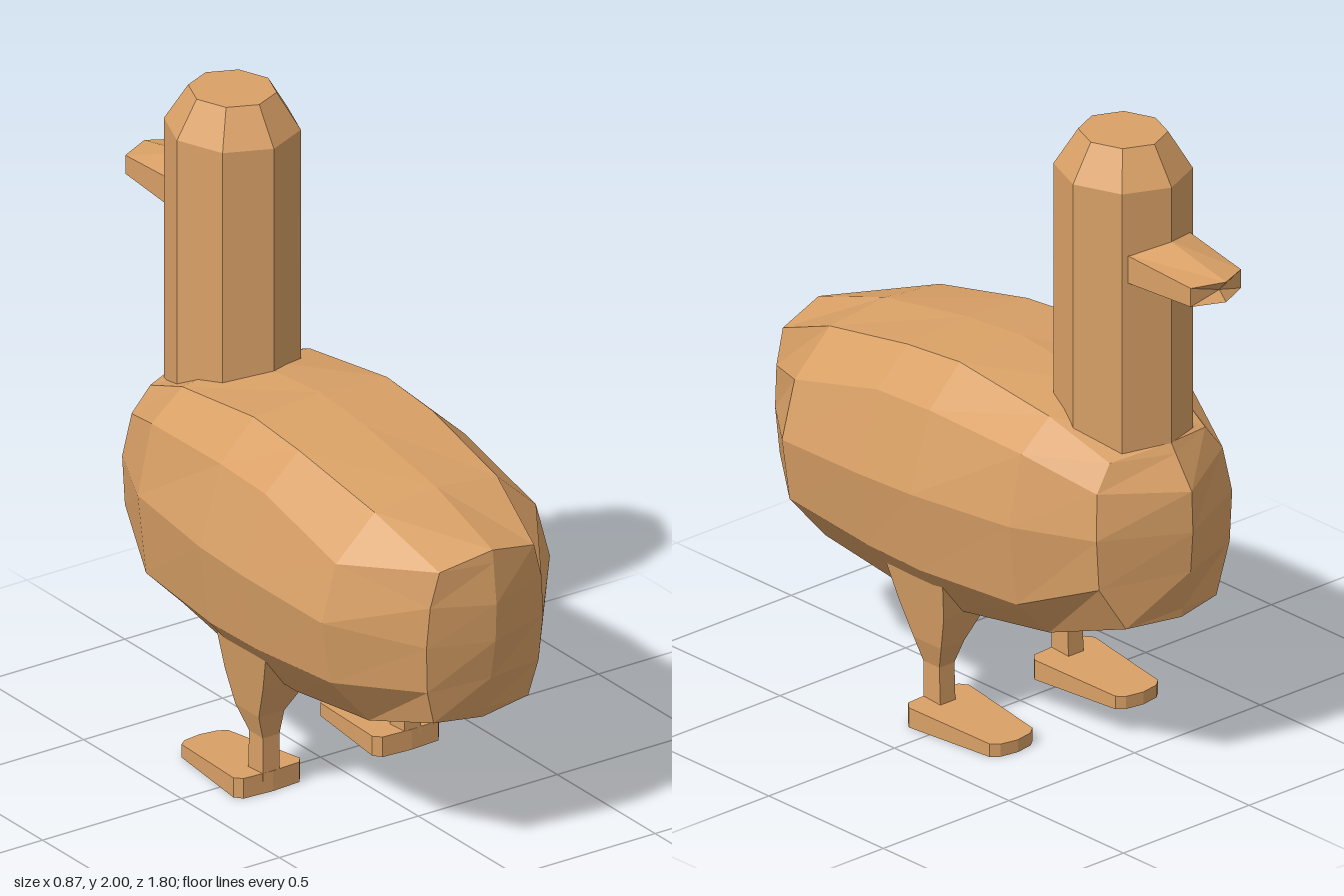
import * as THREE from 'three';

const tan = new THREE.MeshStandardMaterial({ color: 0xd9a066, flatShading: true });
tan.name = 'tan';

// Joins closed rings of [x, y, z] points with quads
function loft(name, rings) {
  const pos = [];
  for (let r = 0; r < rings.length - 1; r++) {
    const p = rings[r], q = rings[r + 1], n = p.length;
    for (let i = 0; i < n; i++) {
      const j = (i + 1) % n;
      pos.push(...p[i], ...p[j], ...q[i], ...p[j], ...q[j], ...q[i]);
    }
  }
  const geo = new THREE.BufferGeometry();
  geo.setAttribute('position', new THREE.Float32BufferAttribute(pos, 3));
  geo.computeVertexNormals();
  const mesh = new THREE.Mesh(geo, tan);
  mesh.name = name;
  return mesh;
}

// Full ring from its +x half, listed top centre to bottom centre
const mirrored = (half) => [
  ...half,
  ...half.slice(1, -1).reverse().map(([x, y, z]) => [-x, y, z]),
];
const section = (z, half) => mirrored(half.map(([x, y]) => [x, y, z]));

// Ring shrunk to its middle, used to close an end
function closing(ring) {
  const c = [0, 1, 2].map((k) => ring.reduce((s, p) => s + p[k], 0) / ring.length);
  return ring.map(() => c);
}

function makeBody() {
  const tailSpine = [[0, 1.01, 0.88], [0, 0.97, 0.885], [0, 0.84, 0.9], [0, 0.72, 0.895], [0, 0.59, 0.87], [0, 0.48, 0.84], [0, 0.45, 0.83]];
  const tailRim = [[0, 1.01, 0.88], [0.17, 0.97, 0.85], [0.2, 0.86, 0.845], [0.21, 0.73, 0.84], [0.2, 0.58, 0.83], [0.17, 0.47, 0.82], [0, 0.45, 0.83]];
  const chestRim = [[0, 1.06, -0.66], [0.19, 1.03, -0.6], [0.25, 0.95, -0.61], [0.27, 0.81, -0.63], [0.26, 0.65, -0.63], [0.18, 0.51, -0.66], [0, 0.51, -0.705]];
  const chestSpine = [[0, 1.06, -0.66], [0, 1.03, -0.68], [0, 0.93, -0.75], [0, 0.8, -0.755], [0, 0.67, -0.745], [0, 0.54, -0.71], [0, 0.51, -0.705]];
  return loft('body', [
    mirrored(tailSpine),
    mirrored(tailRim),
    section(0.59, [[0, 1.105], [0.22, 1.08], [0.36, 0.95], [0.41, 0.77], [0.38, 0.57], [0.24, 0.41], [0, 0.38]]),
    section(0.23, [[0, 1.165], [0.24, 1.15], [0.36, 1.04], [0.435, 0.79], [0.4, 0.55], [0.25, 0.37], [0, 0.34]]),
    section(0, [[0, 1.185], [0.24, 1.17], [0.36, 1.05], [0.435, 0.8], [0.4, 0.545], [0.25, 0.37], [0, 0.33]]),
    section(-0.38, [[0, 1.15], [0.23, 1.12], [0.34, 1.03], [0.39, 0.81], [0.36, 0.55], [0.23, 0.42], [0, 0.38]]),
    mirrored(chestRim),
    mirrored(chestSpine),
  ]);
}

function makeBeak() {
  const base = mirrored([[0, 1.71, -0.66], [0.125, 1.685, -0.59], [0.125, 1.595, -0.59], [0, 1.565, -0.66]]);
  const tip = mirrored([[0, 1.66, -0.9], [0.1, 1.655, -0.855], [0.1, 1.595, -0.855], [0, 1.595, -0.9]]);
  return loft('beak', [base, tip, closing(tip)]);
}

// Leg and webbed foot on one side (s = 1 or -1)
function makeLeg(s) {
  const side = (ring) => {
    const r = ring.map(([x, y, z]) => [s * x, y, z]);
    return s > 0 ? r : r.reverse();
  };
  const square = (y, x0, x1, z0, z1) =>
    side([[x0, y, z1], [x1, y, z1], [x1, y, z0], [x0, y, z0]]);
  const legTop = square(0.49, 0.12, 0.345, -0.04, 0.21);
  const leg = loft('leg', [
    square(0.04, 0.225, 0.285, 0.035, 0.11),
    square(0.18, 0.225, 0.285, 0.04, 0.11),
    square(0.26, 0.218, 0.31, 0.005, 0.125),
    square(0.37, 0.15, 0.327, -0.025, 0.17),
    legTop,
    closing(legTop),
  ]);

  const outline = [[-0.12, 0.08], [-0.1, 0.105], [0, 0.112], [0.1, 0.105], [0.12, 0.08], [0.085, -0.235], [0.06, -0.255], [0, -0.265], [-0.06, -0.255], [-0.085, -0.235]];
  const sole = side(outline.map(([x, z]) => [0.25 + x, 0, z]));
  const top = side(outline.map(([x, z]) => [0.25 + x, 0.058 + z * 0.068, z]));
  const foot = loft('foot', [closing(sole), sole, top, closing(top)]);

  const group = new THREE.Group();
  group.name = s > 0 ? 'leftLeg' : 'rightLeg';
  group.add(leg, foot);
  return group;
}

// Octagonal neck and tapered crown of the head
function makeNeck() {
  const group = new THREE.Group();
  group.name = 'neckAndHead';
  const neck = new THREE.Mesh(new THREE.CylinderGeometry(0.212, 0.212, 0.935, 8, 1, true), tan);
  neck.name = 'neck';
  neck.position.y = 1.4175;
  const crown = new THREE.Mesh(new THREE.CylinderGeometry(0.137, 0.212, 0.115, 8), tan);
  crown.name = 'crown';
  crown.position.y = 1.9425;
  group.add(neck, crown);
  group.scale.x = 0.94;
  group.position.z = -0.45;
  return group;
}

export function createModel() {
  const model = new THREE.Group();
  model.name = 'bird';
  model.add(makeBody(), makeNeck(), makeBeak(), makeLeg(1), makeLeg(-1));
  return model;
}
